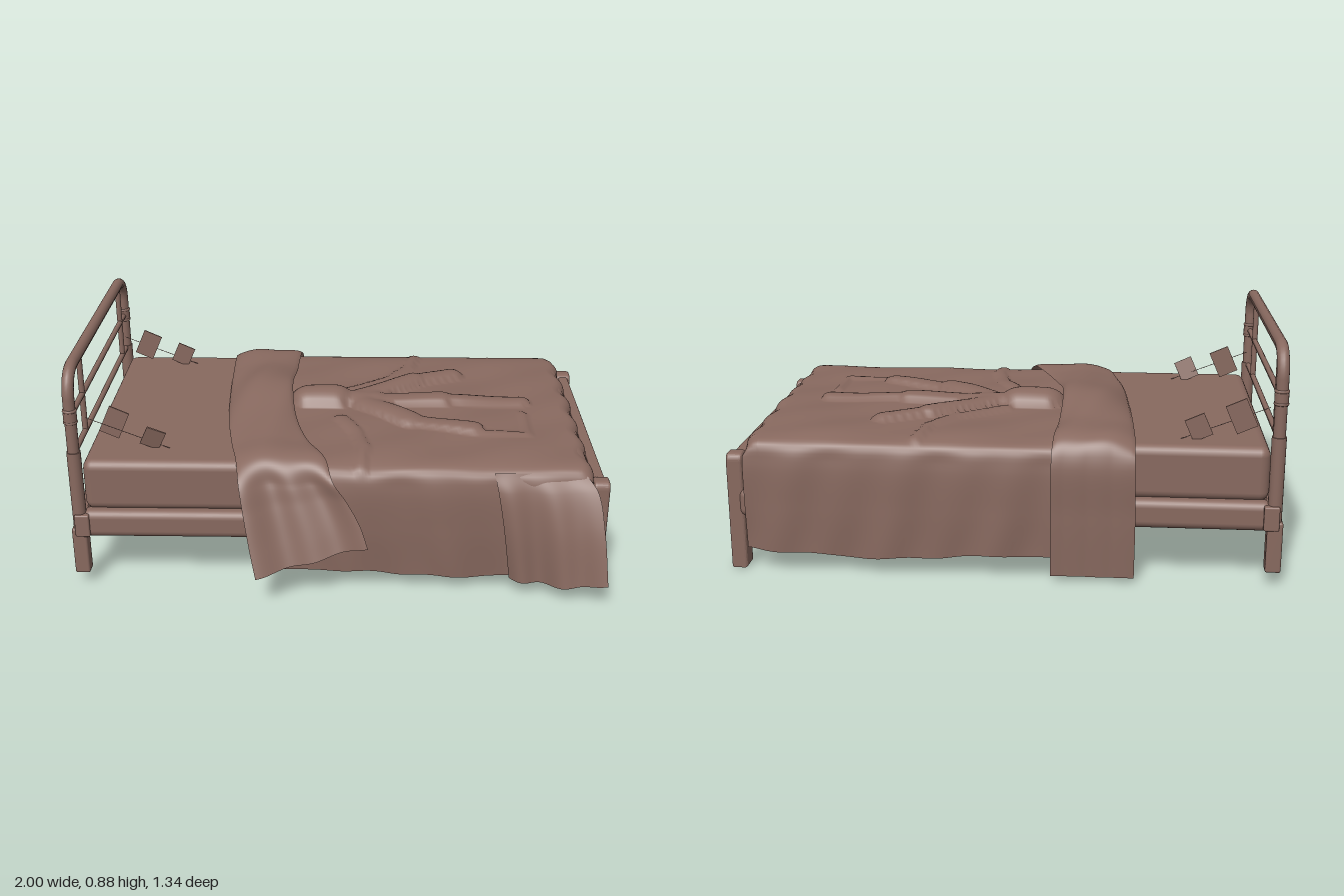
import * as THREE from 'three';
import { RoundedBoxGeometry } from 'three/addons/geometries/RoundedBoxGeometry.js';

const brown = new THREE.MeshStandardMaterial({ color: 0x88695f, side: THREE.DoubleSide });
brown.name = 'dusty brown';

const V = (x, y, z) => new THREE.Vector3(x, y, z);
const curveOf = pts => new THREE.CatmullRomCurve3(pts.map(p => V(...p)), false, 'centripetal');

export function createModel() {
  const bed = new THREE.Group();
  bed.name = 'bed';
  const add = (name, geo, x = 0, y = 0, z = 0) => {
    const m = new THREE.Mesh(geo, brown);
    m.name = name;
    m.position.set(x, y, z);
    bed.add(m);
    return m;
  };
  // Box given by its limits, with rounded edges when r > 0
  const box = (name, x0, x1, y0, y1, z0, z1, r = 0) => {
    const s = [x1 - x0, y1 - y0, z1 - z0];
    const g = r ? new RoundedBoxGeometry(...s, 3, r) : new THREE.BoxGeometry(...s);
    return add(name, g, (x0 + x1) / 2, (y0 + y1) / 2, (z0 + z1) / 2);
  };
  // Straight round bar between two points
  const bar = (name, a, b, r) => {
    const p = V(...a), q = V(...b);
    const m = add(name, new THREE.CylinderGeometry(r, r, p.distanceTo(q), 16));
    m.position.copy(p).add(q).multiplyScalar(0.5);
    m.quaternion.setFromUnitVectors(V(0, 1, 0), q.sub(p).normalize());
    return m;
  };
  // Grid surface from a rule (u, v) -> point
  const sheet = (name, nu, nv, rule) => {
    const pos = [], idx = [];
    for (let j = 0; j <= nv; j++) for (let i = 0; i <= nu; i++) {
      pos.push(...rule(i / nu, j / nv));
      if (i < nu && j < nv) {
        const a = j * (nu + 1) + i, b = a + nu + 1;
        idx.push(a, a + 1, b, a + 1, b + 1, b);
      }
    }
    const g = new THREE.BufferGeometry();
    g.setAttribute('position', new THREE.Float32BufferAttribute(pos, 3));
    g.setIndex(idx);
    g.computeVertexNormals();
    return add(name, g);
  };

  // Headboard: bent tube, rails and spindles
  const hx = -0.97, zF = 0.476, zB = -0.62, c = 0.09, top = 0.858;
  const arch = new THREE.CurvePath();
  arch.add(new THREE.LineCurve3(V(hx, 0.5, zF), V(hx, top - c, zF)));
  arch.add(new THREE.QuadraticBezierCurve3(V(hx, top - c, zF), V(hx, top - 0.008, zF - 0.008), V(hx, top, zF - c)));
  arch.add(new THREE.LineCurve3(V(hx, top, zF - c), V(hx, top, zB + c)));
  arch.add(new THREE.QuadraticBezierCurve3(V(hx, top, zB + c), V(hx, top - 0.008, zB + 0.008), V(hx, top - c, zB)));
  arch.add(new THREE.LineCurve3(V(hx, top - c, zB), V(hx, 0.5, zB)));
  add('headboardArch', new THREE.TubeGeometry(arch, 120, 0.022, 16));
  for (const y of [0.69, 0.54]) bar('headboardRail', [hx, y, zF], [hx, y, zB], 0.011);
  for (const z of [0.267, -0.515]) bar('headboardSpindle', [hx, 0.54, z], [hx, top, z], 0.011);
  for (const z of [zF, zB]) {
    bar('headPost', [hx, 0.2, z], [hx, 0.55, z], 0.026);
    box('headLeg', -1, -0.944, 0.05, 0.24, z - 0.028, z + 0.028, 0.008);
    bar('legCollar', [hx, 0.67, z], [hx, 0.715, z], 0.025);
    for (const y of [0.67, 0.715]) {
      add('legRing', new THREE.TorusGeometry(0.021, 0.006, 8, 20), hx, y, z).rotation.x = Math.PI / 2;
    }
    box('cornerBracket', -0.985, -0.93, 0.21, 0.3, z - 0.035, z + 0.035, 0.006);
  }
  box('headCrossRail', -0.985, -0.94, 0.2, 0.31, zB, zF, 0.015);

  // Footboard: legs with rounded shoulders and a framed panel
  const legShape = new THREE.Shape();
  const w = 0.0385, h = 0.44, r = 0.03;
  legShape.moveTo(-w, 0).lineTo(w, 0).lineTo(w, h - r).quadraticCurveTo(w, h, w - r, h)
    .lineTo(r - w, h).quadraticCurveTo(-w, h, -w, h - r).closePath();
  const bevel = 0.01;
  const legGeo = new THREE.ExtrudeGeometry(legShape, {
    depth: 0.06 - 2 * bevel, curveSegments: 8, bevelSize: bevel, bevelThickness: bevel, bevelOffset: -bevel, bevelSegments: 3,
  }).translate(0, 0, bevel - 0.03).rotateY(Math.PI / 2);
  for (const z of [0.442, -0.592]) add('footLeg', legGeo, 0.97, 0, z);
  box('footPanel', 0.955, 0.975, 0.2, 0.4, -0.57, 0.42);
  box('footTopRail', 0.948, 0.988, 0.38, 0.43, -0.57, 0.42, 0.008);
  box('footBottomRail', 0.948, 0.988, 0.16, 0.22, -0.57, 0.42, 0.008);

  // Side rails, inner ledges and slat under the mattress
  for (const [z0, z1, l0, l1] of [[0.43, 0.5, 0.38, 0.44], [-0.642, -0.572, -0.582, -0.522]]) {
    box('sideRail', -0.96, 0.96, 0.2, 0.31, z0, z1, 0.03);
    box('railLedge', -0.94, 0.95, 0.28, 0.31, l0, l1);
  }
  for (const x of [-0.91, 0.91]) box('endLedge', x - 0.035, x + 0.035, 0.28, 0.31, -0.58, 0.44);
  bar('crossBar', [0, 0.25, -0.6], [0, 0.25, 0.46], 0.02);
  box('mattress', -0.95, 0.925, 0.3, 0.502, -0.612, 0.468, 0.035);

  // Small tilted tags on cords at the head end: x, y, z, width, height, lean
  for (const [x, y, z, tw, th, lean] of [
    [-0.85, 0.59, 0.302, 0.08, 0.11, 0], [-0.7, 0.545, 0.345, 0.075, 0.085, 0.25],
    [-0.85, 0.59, -0.512, 0.08, 0.11, 0], [-0.7, 0.545, -0.512, 0.075, 0.085, 0],
  ]) {
    const m = box('tag', x - tw / 2, x + tw / 2, y - th / 2, y + th / 2, z - 0.003, z + 0.003);
    m.rotation.set(lean, 0, -0.42);
  }
  for (const z of [0.34, -0.512]) bar('tagCord', [-0.95, 0.625, z], [-0.62, 0.495, z], 0.0012);

  // Relief of a covered shape and creases: x1, z1, x2, z2, radius, height
  const ridges = [
    [-0.13, -0.105, -0.03, -0.105, 0.08, 0.055], [-0.04, -0.105, 0.14, -0.105, 0.06, 0.035],
    [0.08, -0.13, 0.3, -0.3, 0.055, 0.032], [0.3, -0.3, 0.46, -0.375, 0.048, 0.025],
    [0.08, -0.1, 0.4, -0.1, 0.06, 0.03], [0.4, -0.1, 0.72, -0.095, 0.045, 0.022],
    [0.1, -0.06, 0.27, 0.09, 0.06, 0.032], [0.27, 0.09, 0.51, 0.17, 0.048, 0.022],
    [0.02, -0.2, 0.2, -0.33, 0.03, 0.01], [0.2, -0.33, 0.28, -0.45, 0.028, 0.01],
    [0.28, -0.45, 0.31, -0.6, 0.025, 0.01], [0.51, 0.2, 0.71, 0.21, 0.02, 0.01],
    [0.72, 0.02, 0.72, 0.21, 0.018, 0.008], [0, 0.08, 0.06, 0.2, 0.03, 0.01],
    [0.06, 0.2, 0.09, 0.34, 0.028, 0.01], [0.09, 0.34, 0.08, 0.48, 0.025, 0.01],
  ];
  const relief = (x, z) => ridges.reduce((best, [x1, z1, x2, z2, rad, high]) => {
    const dx = x2 - x1, dz = z2 - z1;
    const t = THREE.MathUtils.clamp(((x - x1) * dx + (z - z1) * dz) / (dx * dx + dz * dz), 0, 1);
    const d = Math.hypot(x - x1 - t * dx, z - z1 - t * dz) / rad;
    return Math.max(best, d < 1 ? high * Math.sqrt(1 - d * d) : 0);
  }, 0);

  // Blanket: cross-section swept towards the foot, then dropping behind the footboard
  const section = curveOf([
    [0, 0.065, 0.505], [0, 0.25, 0.515], [0, 0.42, 0.512], [0, 0.48, 0.495], [0, 0.502, 0.45], [0, 0.51, 0.2],
    [0, 0.51, -0.3], [0, 0.505, -0.58], [0, 0.485, -0.64], [0, 0.42, -0.657], [0, 0.25, -0.66], [0, 0.075, -0.655],
  ]);
  const rows = 130, profile = section.getSpacedPoints(rows);
  sheet('blanket', 120, rows, (u, v) => {
    const p = profile[Math.round(v * rows)];
    const s = u * 1.31, side = p.z > 0 ? 1 : -1;
    const flat = THREE.MathUtils.smoothstep(p.y, 0.43, 0.502), hang = 1 - flat;
    const bend = THREE.MathUtils.clamp((s - 1.13) / 0.09, 0, 1) * Math.PI / 2;
    let x = -0.25 + Math.min(s, 1.13) + 0.05 * Math.sin(bend);
    const drop = 0.05 * (1 - Math.cos(bend)) + Math.max(0, s - 1.22);
    x += bend > 0 ? 0.008 * Math.sin(p.z * 32) * flat : 0;
    const wave = Math.sin(x * 17 + 1) + 0.6 * Math.sin(x * 31 + p.y * 9);
    const hem = THREE.MathUtils.smoothstep(0.3 - p.y, 0, 0.23);
    const y = p.y + flat * (relief(x, p.z) + 0.005 * Math.sin(x * 13 + p.z * 7) * Math.sin(p.z * 15) - drop)
      + hem * (0.012 * Math.sin(x * 6 + 2) + 0.004 * Math.sin(x * 21));
    return [x, y, p.z + side * hang * wave * (0.004 + 0.003 * hem)];
  });

  // Sheet stretched between two edge curves, puffed out by a rule
  const cloth = (name, nu, nv, left, right, puff) => {
    const a = curveOf(left), b = curveOf(right);
    return sheet(name, nu, nv, (u, v) => {
      const p = a.getPoint(v).lerp(b.getPoint(v), u);
      const [dy, dz] = puff(u, v, p);
      return [p.x, p.y + dy, p.z + dz];
    });
  };

  // Turned-down fold lying across the bed and hanging over both sides
  cloth('foldedSheet', 36, 110, [
    [-0.48, 0.02, -0.662], [-0.48, 0.25, -0.668], [-0.475, 0.47, -0.66], [-0.475, 0.51, -0.6], [-0.47, 0.51, -0.4],
    [-0.46, 0.51, -0.15], [-0.44, 0.51, 0.1], [-0.41, 0.51, 0.3], [-0.38, 0.508, 0.45], [-0.365, 0.46, 0.535],
    [-0.345, 0.35, 0.585], [-0.32, 0.22, 0.63], [-0.3, 0.13, 0.66],
  ], [
    [-0.18, 0.02, -0.662], [-0.18, 0.25, -0.668], [-0.18, 0.47, -0.66], [-0.185, 0.52, -0.6], [-0.195, 0.525, -0.4],
    [-0.2, 0.56, -0.15], [-0.175, 0.535, 0.1], [-0.12, 0.52, 0.3], [-0.05, 0.515, 0.45], [-0.02, 0.465, 0.53],
    [0.03, 0.4, 0.555], [0.08, 0.32, 0.59], [0.11, 0.24, 0.62],
  ], (u, v, p) => {
    const arc = Math.pow(Math.sin(Math.PI * u), 0.6);
    const flat = THREE.MathUtils.smoothstep(p.y, 0.44, 0.51);
    const mid = Math.exp(-Math.pow((p.z + 0.15) / 0.28, 2));
    const fold = p.z > 0 ? -0.03 * Math.sin(Math.PI * u) + 0.012 * Math.sin(u * 13 + 1) : -0.002 * Math.abs(Math.sin(u * 11));
    const sag = p.y < 0.4 && p.z > 0 ? -0.06 * Math.sin(Math.PI * u) * (0.4 - p.y) : 0;
    return [flat * (arc * (0.022 + 0.02 * mid) + 0.004 * Math.sin(u * 9 + p.z * 12)) + sag, (1 - flat) * fold];
  });

  // Bunched corner spilling out beside the foot leg
  cloth('blanketCorner', 40, 24, [
    [0.57, 0.485, 0.495], [0.585, 0.42, 0.522], [0.61, 0.28, 0.535], [0.64, 0.065, 0.53],
  ], [
    [0.9, 0.485, 0.485], [0.945, 0.43, 0.535], [0.97, 0.3, 0.595], [0.99, 0.1, 0.645],
  ], (u, v) => [-0.02 * v * Math.sin(u * Math.PI), v * 0.02 * Math.sin(u * 14) * (1 - u * u)]);

  return bed;
}
